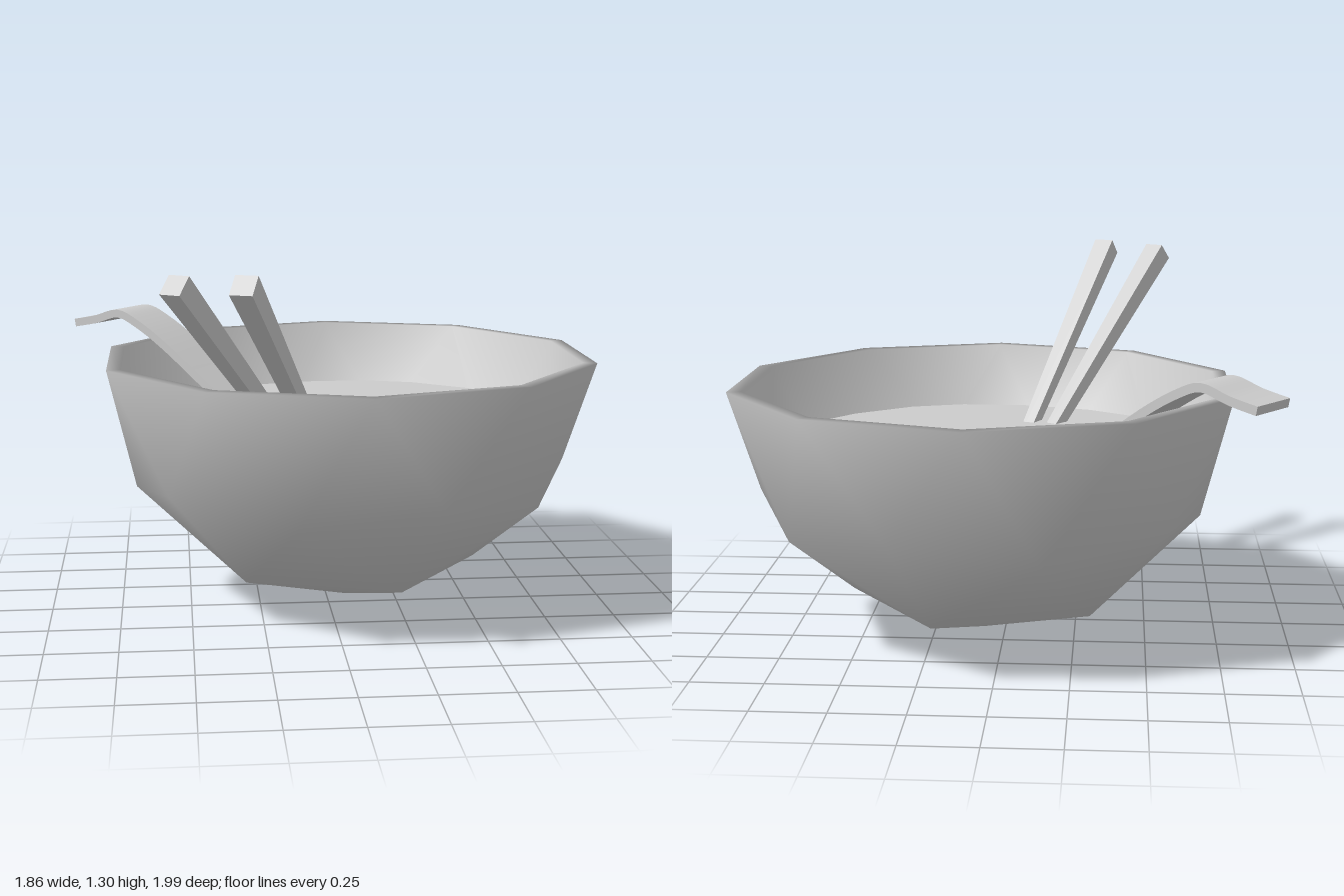
import * as THREE from 'three';
import { toCreasedNormals } from 'three/addons/utils/BufferGeometryUtils.js';

const RADIUS = 0.9, INNER = 0.945, SOUP_Y = 0.67;
const CENTRE = new THREE.Vector3(0.075, 0.9, -0.1);
const grey = (options = {}) => new THREE.MeshStandardMaterial({ color: 0xcccccc, ...options });

function addMesh(parent, name, geometry, material = grey()) {
  const mesh = new THREE.Mesh(geometry, material);
  mesh.name = name;
  parent.add(mesh);
  return mesh;
}

// Point on the bowl sphere; drop is the unit depth below the rim
function spherePoint(degrees, drop, scale) {
  const a = THREE.MathUtils.degToRad(degrees), r = Math.sqrt(1 - drop * drop);
  return new THREE.Vector3(r * Math.cos(a), -drop, r * Math.sin(a))
    .multiplyScalar(RADIUS * scale).add(CENTRE);
}

// Lower half of a once-subdivided icosahedron: pole, 5, 10 and 10 points
function shellPoints(scale) {
  const points = [spherePoint(0, 1, scale)];
  for (let k = 0; k < 5; k++) points.push(spherePoint(72 * k, 0.8507, scale));
  for (let k = 0; k < 10; k++) points.push(spherePoint(36 * k, k % 2 ? 0.5257 : 0.4472, scale));
  for (let k = 0; k < 10; k++) points.push(spherePoint(36 * k + 18, 0, scale));
  return points;
}
const low = (k) => 1 + (k % 5);
const mid = (k) => 6 + (k % 10);
const rim = (k) => 16 + ((k + 10) % 10);

function bowlGeometry() {
  const points = [...shellPoints(1), ...shellPoints(INNER)];
  const shell = [];
  for (let k = 0; k < 5; k++) {
    shell.push([0, low(k), low(k + 1)], [low(k), mid(2 * k + 1), low(k + 1)],
      [low(k), mid(2 * k), mid(2 * k + 1)], [low(k + 1), mid(2 * k + 1), mid(2 * k + 2)]);
  }
  for (let k = 0; k < 10; k++) {
    shell.push([mid(k), rim(k), mid(k + 1)], [mid(k), rim(k - 1), rim(k)]);
  }
  const index = [];
  const n = points.length / 2;
  // Outer wall, and the inner wall turned inside out
  for (const [a, b, c] of shell) index.push(a, b, c, a + n, c + n, b + n);
  // Rim joining both walls
  for (let k = 0; k < 10; k++) {
    const a = rim(k), b = rim(k + 1);
    index.push(a, a + n, b, a + n, b + n, b);
  }
  const geometry = new THREE.BufferGeometry().setFromPoints(points);
  geometry.setIndex(index);
  geometry.computeVertexNormals();
  return geometry;
}

// Level surface cut to where it meets the inner wall
function soupGeometry() {
  const points = shellPoints(INNER);
  const outline = [];
  for (let k = 0; k < 10; k++) {
    for (const top of [points[rim(k - 1)], points[rim(k)]]) {
      const from = points[mid(k)];
      const p = from.clone().lerp(top, (SOUP_Y - from.y) / (top.y - from.y));
      outline.push(new THREE.Vector2(p.x, -p.z));
    }
  }
  return new THREE.ShapeGeometry(new THREE.Shape(outline)).rotateX(-Math.PI / 2).translate(0, SOUP_Y, 0);
}

// Square stick, tapering from its upper end to its tip
function addChopstick(parent, top, atSoup) {
  const end = new THREE.Vector3(...top);
  const tip = end.clone().lerp(new THREE.Vector3(...atSoup), 1.25);
  const geometry = new THREE.CylinderGeometry(0.075 * Math.SQRT1_2, 0.038 * Math.SQRT1_2, end.distanceTo(tip), 4)
    .rotateY(Math.PI / 4).rotateX(Math.PI / 2);
  const stick = addMesh(parent, 'chopstick', geometry, grey({ flatShading: true }));
  stick.position.copy(end).lerp(tip, 0.5);
  stick.lookAt(end);
}

// Bent strip: side profile extruded across its width
function spoonGeometry() {
  const width = 0.19, thickness = 0.03;
  const path = new THREE.SplineCurve([
    [0, 0.962], [0.1, 0.982], [0.21, 1.012], [0.31, 0.977], [0.44, 0.9], [0.6, 0.785], [0.757, 0.67], [0.86, 0.59],
  ].map(([x, y]) => new THREE.Vector2(x, y)));
  const upper = [], lower = [];
  for (let i = 0; i <= 28; i++) {
    const p = path.getPoint(i / 28), t = path.getTangent(i / 28);
    upper.push(p);
    lower.unshift(new THREE.Vector2(p.x + t.y * thickness, p.y - t.x * thickness));
  }
  const geometry = new THREE.ExtrudeGeometry(new THREE.Shape([...upper, ...lower]),
    { depth: width, bevelEnabled: false }).translate(0, 0, -width / 2);
  return toCreasedNormals(geometry, 0.7);
}

export function createModel() {
  const model = new THREE.Group();
  model.name = 'soupBowl';
  addMesh(model, 'bowl', bowlGeometry());
  addMesh(model, 'soup', soupGeometry(), grey({ side: THREE.DoubleSide }));

  const chopsticks = new THREE.Group();
  chopsticks.name = 'chopsticks';
  addChopstick(chopsticks, [-0.545, 1.268, 0.85], [-0.165, 0.67, 0.335]);
  addChopstick(chopsticks, [-0.34, 1.277, 0.95], [-0.072, 0.67, 0.355]);
  model.add(chopsticks);

  const spoon = addMesh(model, 'spoonHandle', spoonGeometry());
  spoon.position.set(-0.875, 0, -0.775);
  spoon.rotation.y = -0.635;
  return model;
}
